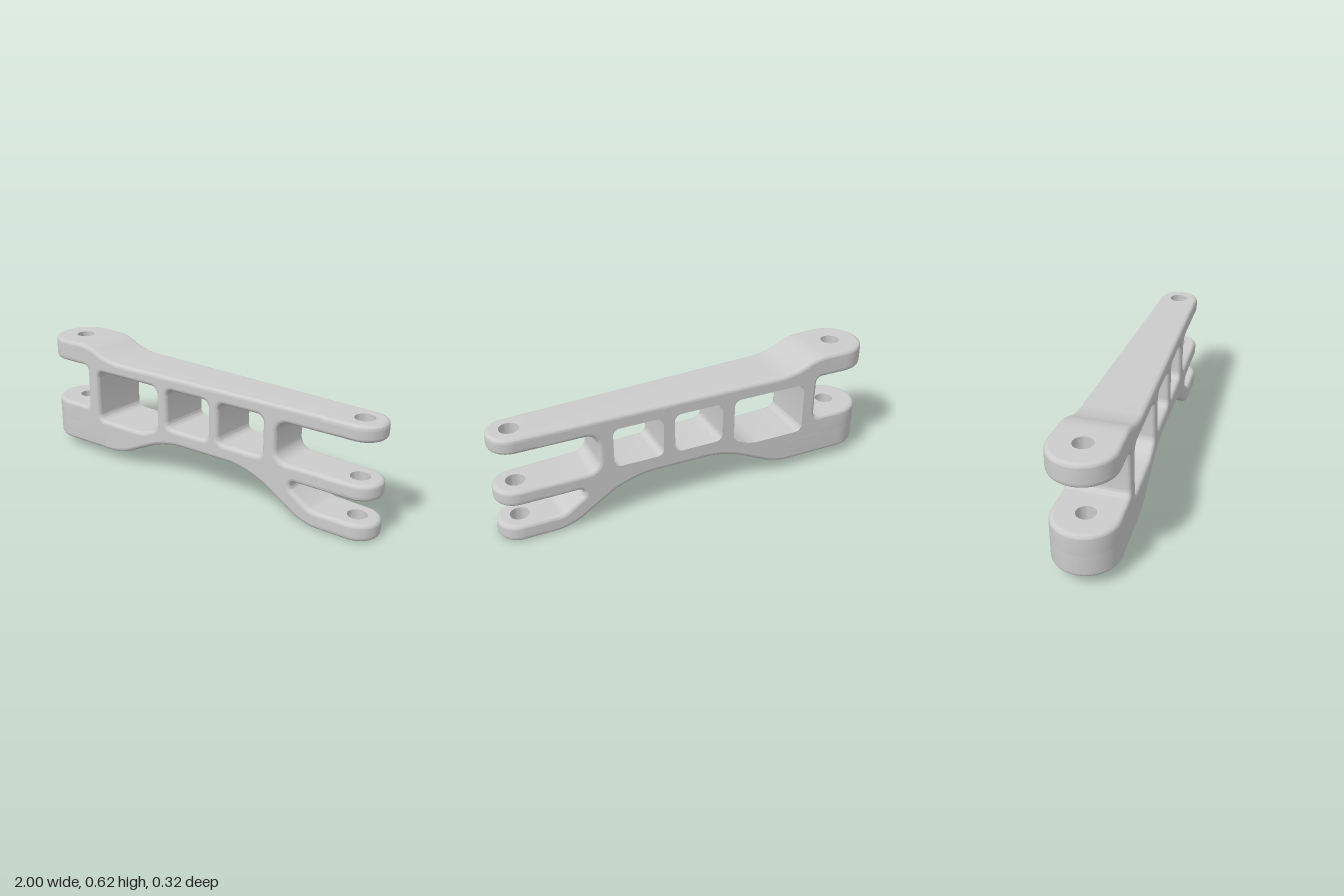
import * as THREE from 'three';
import { mergeGeometries, toCreasedNormals } from 'three/addons/utils/BufferGeometryUtils.js';

const R = 0.02;                          // edge rounding
const BACK = -0.16;                      // flat back plane
const TILT = 0.0636;                     // slope of the tapering front
const frontZ = x => 0.1597 - Math.tan(TILT) * (x + 0.83);
const V = (x, y) => new THREE.Vector2(x, y);

// Polygon from [x, y, fillet] corners
function roundedLoop(corners) {
  const pts = [], n = corners.length;
  corners.forEach(([x, y, r], i) => {
    const c = V(x, y);
    if (!r) { pts.push(c); return; }
    const toward = q => c.clone().add(V(q[0], q[1]).sub(c).setLength(r));
    const a = toward(corners[(i + n - 1) % n]), b = toward(corners[(i + 1) % n]);
    const curve = new THREE.CubicBezierCurve(a, a.clone().lerp(c, 0.55), b.clone().lerp(c, 0.55), b);
    pts.push(...curve.getPoints(8));
  });
  return pts;
}

function arc(cx, cy, r, from, to, n = 32) {
  return Array.from({ length: n + 1 }, (_, i) => {
    const t = from + (to - from) * i / n;
    return V(cx + r * Math.cos(t), cy + r * Math.sin(t));
  });
}

// Move a loop towards the material on its left
function insetLoop(loop, d) {
  const n = loop.length;
  return loop.map((p, i) => {
    const e1 = p.clone().sub(loop[(i + n - 1) % n]).normalize();
    const e2 = loop[(i + 1) % n].clone().sub(p).normalize();
    const m = V(-e1.y - e2.y, e1.x + e2.x).normalize();
    const k = Math.max(0.4, m.dot(V(-e1.y, e1.x)));
    return p.clone().addScaledVector(m, d / k);
  });
}

// Edge steps of one end, from the cap inwards: [depth, inset]
function edgeSteps(r) {
  if (!r) return [[0, 0]];
  const s = [];
  for (let i = 0; i <= 5; i++) {
    const t = i / 5 * Math.PI / 2;
    s.push([r * (1 - Math.cos(t)), r * (1 - Math.sin(t))]);
  }
  s.push([r * 1.2, 0]);
  return s;
}

// Prism with rounded rims; each loop is { pts, low, high }, the first is the outline
function solid(loops, place) {
  const wall = [], caps = [];
  const add = (out, p, side, d) => out.push(...place(p.x, p.y, side, d));
  const lowCap = [], highCap = [];
  for (const { pts, low, high } of loops) {
    const rows = [
      ...edgeSteps(low).map(([d, i]) => ({ side: 0, d, pts: insetLoop(pts, i) })),
      ...edgeSteps(high).reverse().map(([d, i]) => ({ side: 1, d, pts: insetLoop(pts, i) }))];
    lowCap.push(rows[0].pts);
    highCap.push(rows[rows.length - 1].pts);
    for (let k = 0; k + 1 < rows.length; k++) {
      const A = rows[k], B = rows[k + 1];
      for (let i = 0; i < pts.length; i++) {
        const j = (i + 1) % pts.length;
        add(wall, A.pts[i], A.side, A.d); add(wall, A.pts[j], A.side, A.d); add(wall, B.pts[j], B.side, B.d);
        add(wall, A.pts[i], A.side, A.d); add(wall, B.pts[j], B.side, B.d); add(wall, B.pts[i], B.side, B.d);
      }
    }
  }
  [lowCap, highCap].forEach((cap, side) => {
    const all = cap.flat();
    for (const f of THREE.ShapeUtils.triangulateShape(cap[0], cap.slice(1))) {
      for (const i of side ? f : [f[0], f[2], f[1]]) add(caps, all[i], side, 0);
    }
  });
  const make = data => {
    const g = new THREE.BufferGeometry();
    g.setAttribute('position', new THREE.Float32BufferAttribute(data, 3));
    g.computeVertexNormals();
    return g;
  };
  return mergeGeometries([toCreasedNormals(make(wall), 0.6), make(caps)]);
}

export function createModel() {
  const group = new THREE.Group();
  const material = new THREE.MeshStandardMaterial({ color: 0xcccccc });
  const addMesh = (name, geometry) => {
    const mesh = new THREE.Mesh(geometry, material);
    mesh.name = name;
    group.add(mesh);
  };

  // Main frame: side profile with windows, run from the back to the tapering front
  const profile = roundedLoop([
    [-0.77, 0.15], [-0.58, 0.15], [-0.58, 0.055], [-0.46, 0.055, 0.07], [-0.15, 0.2, 0.1],
    [0.36, 0.2, 0.12], [0.67, 0, 0.07], [0.81, 0], [0.81, 0.085], [0.705, 0.085, 0.015],
    [0.595, 0.16, 0.012], [0.595, 0.2, 0.022], [0.81, 0.2], [0.81, 0.28], [0.51, 0.28, 0.06],
    [0.51, 0.48, 0.06], [0.81, 0.48], [0.81, 0.56], [-0.53, 0.56, 0.08], [-0.67, 0.625, 0.05],
    [-0.77, 0.625], [-0.77, 0.51], [-0.675, 0.51, 0.03], [-0.675, 0.275, 0.03], [-0.77, 0.275]]);
  const box = (x0, x1) => [[x0, 0.282, 0.035], [x1, 0.282, 0.035], [x1, 0.49, 0.035], [x0, 0.49, 0.035]];
  const windows = [
    [[-0.6, 0.217, 0.035], [-0.3, 0.217, 0.04], [-0.2, 0.262, 0.03], [-0.2, 0.49, 0.035], [-0.6, 0.49, 0.035]],
    box(-0.135, 0.123), box(0.182, 0.438)];
  addMesh('frame', solid(
    [{ pts: profile, low: R, high: R },
      ...windows.map(w => ({ pts: roundedLoop(w).reverse(), low: 0, high: R }))],
    (x, y, side, d) => [x, y, side ? frontZ(x) - d : BACK + d]));

  // Round-ended lugs, drawn in plan as (x, -z)
  const leftPlan = xEnd => [...arc(-0.84, 0, 0.16, Math.PI / 2, 1.5 * Math.PI + TILT, 48),
    V(xEnd, -frontZ(xEnd)), V(xEnd, -BACK)];
  const rightPlan = xEnd => [...arc(0.895, 0.055, 0.105, TILT - Math.PI / 2, Math.PI / 2, 40),
    V(xEnd, -BACK), V(xEnd, -frontZ(xEnd))];
  const circle = (x, v) => arc(x, v, 0.047, 0, 2 * Math.PI, 32).slice(1).reverse();
  const lug = (name, plan, hole, y0, y1) => addMesh(name, solid(
    [{ pts: plan, low: R, high: R }, { pts: hole, low: 0, high: 0 }],
    (x, v, side, d) => [x, side ? y1 - d : y0 + d, -v]));

  const leftHole = circle(-0.84, 0), rightHole = circle(0.89, 0.055);
  lug('upperRightLug', leftPlan(-0.72), leftHole, 0.51, 0.625);
  lug('lowerRightLug', leftPlan(-0.72), leftHole, 0.15, 0.275);
  lug('upperLeftLug', rightPlan(0.74), rightHole, 0.48, 0.56);
  lug('middleLeftLug', rightPlan(0.74), rightHole, 0.2, 0.28);
  lug('lowerLeftLug', rightPlan(0.74), rightHole, 0, 0.085);

  // Hollow foot under the lower right lug, open below
  const pocket = [...arc(-0.84, 0, 0.095, Math.PI / 2, 1.5 * Math.PI, 32),
    ...roundedLoop([[-0.75, -0.095], [-0.605, -0.088, 0.04], [-0.605, 0.095, 0.04], [-0.75, 0.095]])];
  lug('hollowFoot', leftPlan(-0.53), pocket.reverse(), 0.055, 0.193);

  return group;
}
